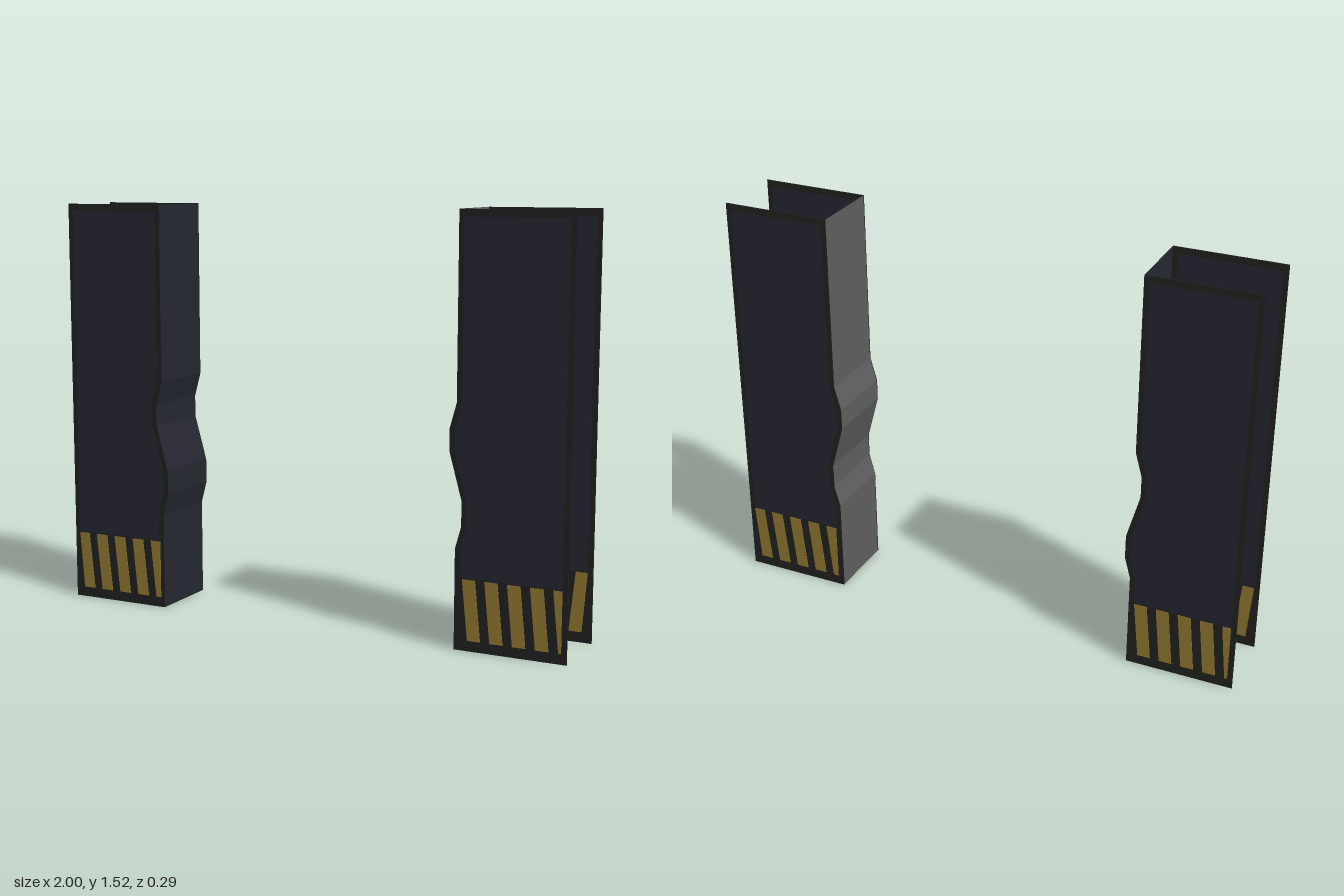
import * as THREE from 'three';

const HEIGHT = 1.525;
const HALF_DEPTH = 0.139;
const STRIPE_TOP = 0.255;

// [height, sideways offset] along the kinked inner edge
const KINKS = [[0, 0], [0.36, 0], [0.44, 0.022], [0.53, 0.022], [0.7, -0.025], [0.78, -0.025], [0.87, 0], [HEIGHT, 0]];

function material(name, color, side = THREE.FrontSide) {
  const m = new THREE.MeshStandardMaterial({ color, side });
  m.name = name;
  return m;
}

// Thin sheet cut from an outline, centred on z
function sheet(name, points, thickness, mat, z) {
  const shape = new THREE.Shape(points.map(([x, y]) => new THREE.Vector2(x, y)));
  const geo = new THREE.ExtrudeGeometry(shape, { depth: thickness, bevelEnabled: false });
  geo.translate(0, 0, z - thickness / 2);
  const mesh = new THREE.Mesh(geo, mat);
  mesh.name = name;
  return mesh;
}

// Edge wall: a flat-faced ribbon following the kinks
function kinkedWall(base, mat) {
  const pos = [];
  for (let i = 0; i < KINKS.length - 1; i++) {
    const [y0, o0] = KINKS[i], [y1, o1] = KINKS[i + 1];
    const a = [base + o0, y0, HALF_DEPTH], b = [base + o0, y0, -HALF_DEPTH];
    const c = [base + o1, y1, -HALF_DEPTH], d = [base + o1, y1, HALF_DEPTH];
    pos.push(...a, ...b, ...c, ...a, ...c, ...d);
  }
  const geo = new THREE.BufferGeometry();
  geo.setAttribute('position', new THREE.Float32BufferAttribute(pos, 3));
  geo.computeVertexNormals();
  const mesh = new THREE.Mesh(geo, mat);
  mesh.name = 'edgeWall';
  return mesh;
}

// Slanted warning stripe, clipped to the panel's width
function stripeOutline(u, min, max, face) {
  const clip = (v) => face * Math.min(max, Math.max(min, v));
  return [
    [clip(u + 0.022), 0.038], [clip(u + 0.07), 0.038],
    [clip(u + 0.048), STRIPE_TOP], [clip(u), STRIPE_TOP],
  ];
}

export function createModel() {
  const frameMat = material('dark frame', 0x20201f);
  const panelMat = material('navy panel', 0x252531);
  const stripeMat = material('warning yellow', 0x917731);
  const navyWallMat = material('navy wall', 0x252731, THREE.DoubleSide);
  const greyWallMat = material('grey wall', 0x5e5e60, THREE.DoubleSide);

  const model = new THREE.Group();
  model.name = 'doorPair';

  for (const side of [-1, 1]) {
    const leaf = new THREE.Group();
    leaf.name = side > 0 ? 'leftLeaf' : 'rightLeaf';
    const base = side > 0 ? 0.59 : -0.597;
    leaf.add(kinkedWall(base, side > 0 ? greyWallMat : navyWallMat));

    // Frame sheet outline and the inset panel inside it
    const frame = [[side, 0], ...KINKS.map(([y, o]) => [base + o, y]), [side, HEIGHT]];
    const inner = KINKS.slice(1, -1).map(([y, o]) => [base + o + side * 0.02, y]);
    const edge = base + side * 0.02;
    const inset = [
      [side * 0.98, STRIPE_TOP + 0.005], [edge, STRIPE_TOP + 0.005],
      ...inner, [edge, HEIGHT - 0.026], [side * 0.98, HEIGHT - 0.026],
    ];

    for (const face of [1, -1]) {
      const skin = new THREE.Group();
      skin.name = face > 0 ? 'frontSkin' : 'backSkin';
      const z = face * HALF_DEPTH;
      skin.add(sheet('frame', frame, 0.004, frameMat, z));
      skin.add(sheet('insetPanel', inset, 0.008, panelMat, z));

      // Stripes lean the same way on whichever face is seen
      const onLeft = side * face < 0;
      const [min, max, start] = onLeft ? [-0.98, -0.612, -0.985] : [0.615, 0.98, 0.618];
      for (let i = 0; i < 5; i++) {
        const outline = stripeOutline(start + i * 0.0825, min, max, face);
        skin.add(sheet('warningStripe', outline, 0.008, stripeMat, z));
      }
      leaf.add(skin);
    }
    model.add(leaf);
  }
  return model;
}
